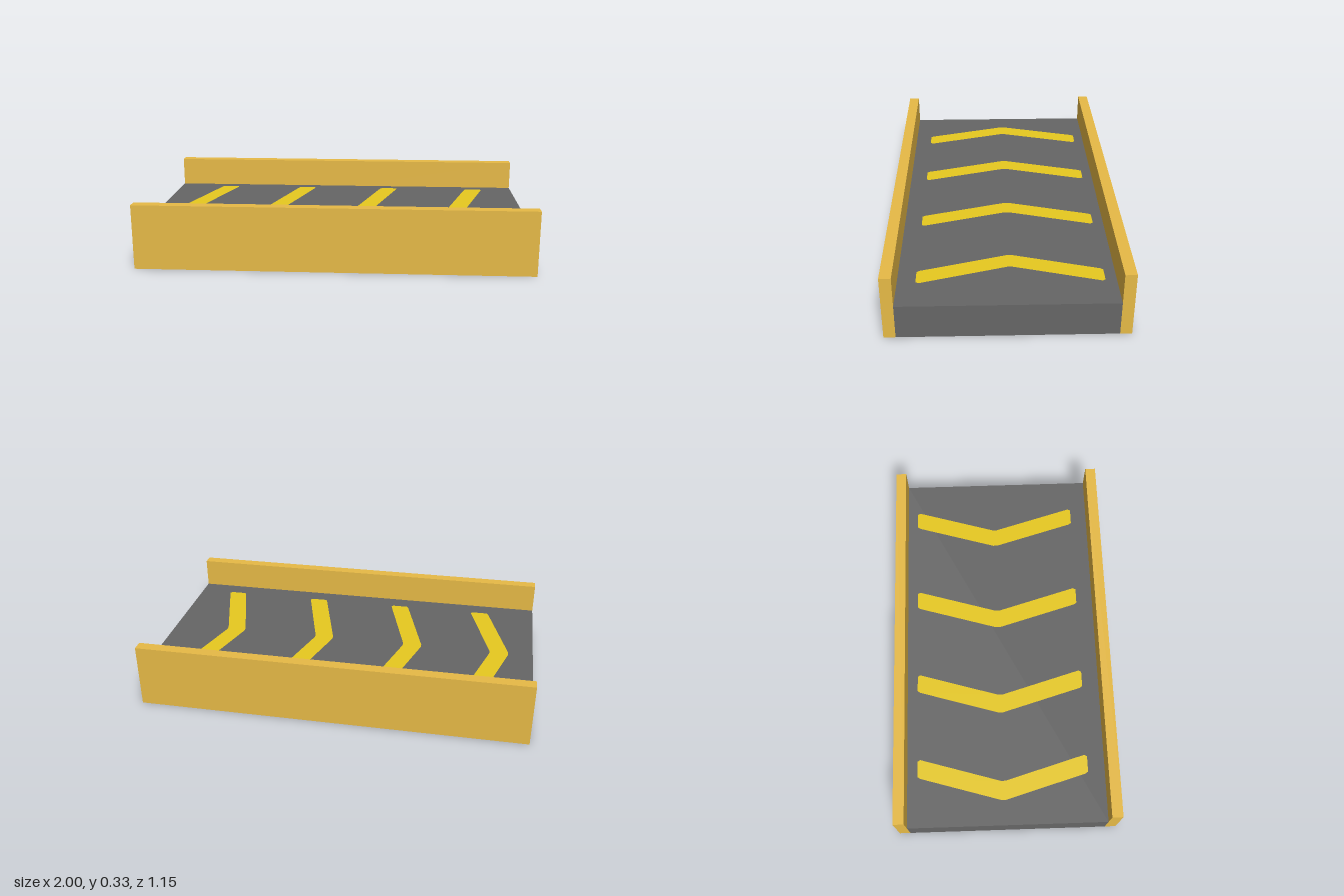
import * as THREE from 'three';

const LENGTH = 2, DECK_TOP = 0.175, RAIL_TOP = 0.33, HALF_WIDTH = 0.575, RAIL = 0.056;

const material = (name, color) => {
  const m = new THREE.MeshStandardMaterial({ color });
  m.name = name;
  return m;
};

// Box standing on the ground
function block(name, height, depth, z, mat) {
  const mesh = new THREE.Mesh(new THREE.BoxGeometry(LENGTH, height, depth), mat);
  mesh.name = name;
  mesh.position.set(0, height / 2, z);
  return mesh;
}

// Flat chevron with its tip at the origin, pointing to -x, with softened corners
function chevronGeometry() {
  const arm = [[0, 0.012], [0.124, 0.434], [0.134, 0.448], [0.216, 0.448], [0.224, 0.434], [0.1, 0.012]];
  const mirrored = arm.map(([x, y]) => [x, -y]).reverse();
  const outline = [...arm, ...mirrored].map(([x, y]) => new THREE.Vector2(x, y));
  return new THREE.ShapeGeometry(new THREE.Shape(outline)).rotateX(-Math.PI / 2);
}

export function createModel() {
  const model = new THREE.Group();
  model.name = 'conveyor';
  const railMat = material('ochre rail', 0xedbf48);
  const beltMat = material('dark grey belt', 0x666666);
  const paintMat = material('yellow paint', 0xedce20);

  // Belt deck
  model.add(block('belt', DECK_TOP, 2 * (HALF_WIDTH - RAIL), 0, beltMat));

  // Side rails
  for (const [name, side] of [['frontRail', 1], ['backRail', -1]]) {
    model.add(block(name, RAIL_TOP, RAIL, side * (HALF_WIDTH - RAIL / 2), railMat));
  }

  // Direction chevrons painted on the belt
  const chevron = chevronGeometry();
  [-0.87, -0.4, 0.093, 0.6].forEach((x, i) => {
    const mesh = new THREE.Mesh(chevron, paintMat);
    mesh.name = `chevron${i + 1}`;
    mesh.position.set(x, DECK_TOP + 0.001, -0.017);
    model.add(mesh);
  });

  return model;
}
